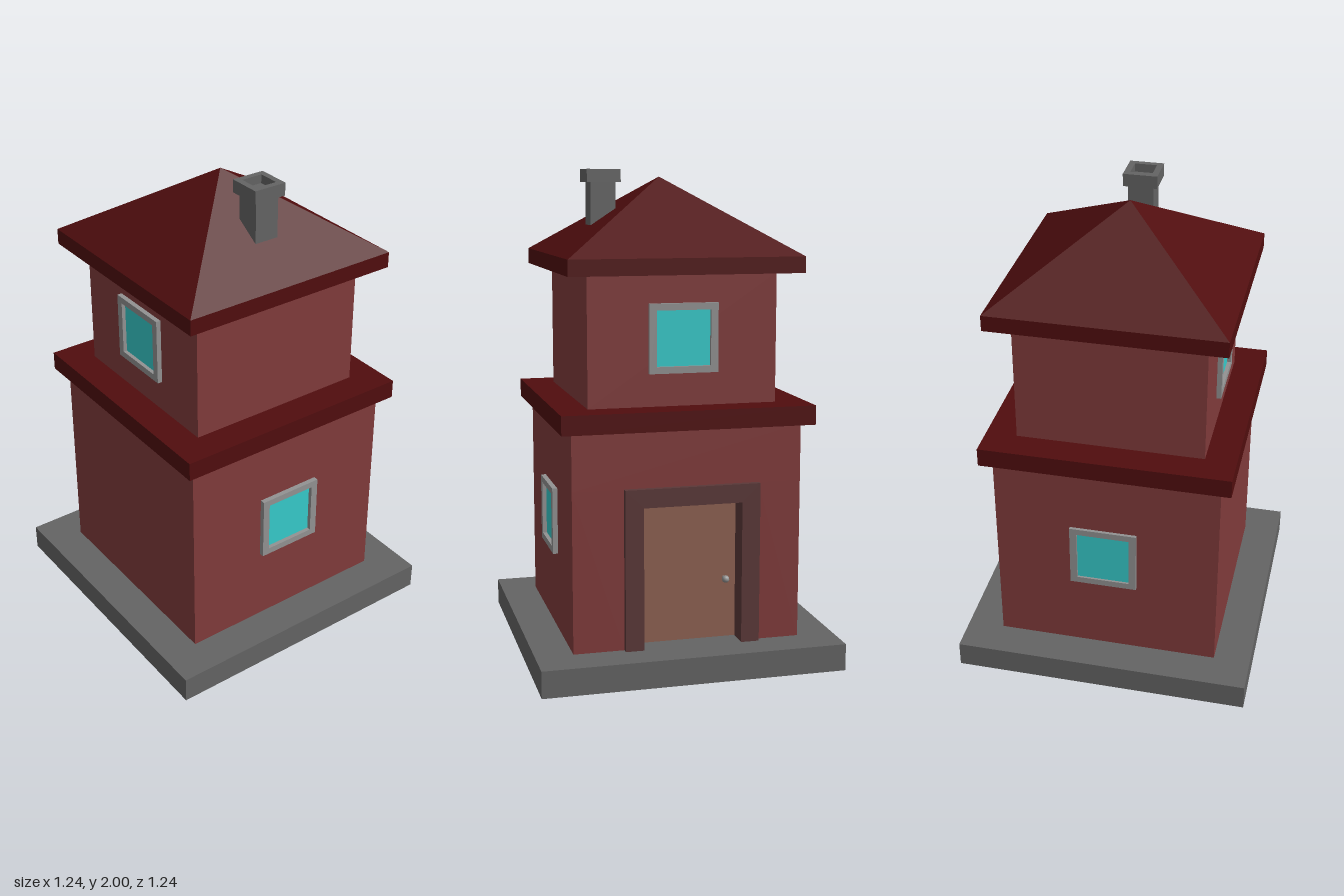
import * as THREE from 'three';

const mat = (name, color) => {
  const m = new THREE.MeshStandardMaterial({ color });
  m.name = name;
  return m;
};

export function createModel() {
  const stone = mat('stone', 0x646464);
  const wall = mat('brick wall', 0x803b3b);
  const roofRed = mat('dark red roof', 0x500d0e);
  const trim = mat('light grey trim', 0x929292);
  const glass = mat('turquoise glass', 0x36cbcb);
  const doorWood = mat('door wood', 0x8d6151);
  const frameWood = mat('door frame wood', 0x5a3838);

  const house = new THREE.Group();
  house.name = 'house';

  const add = (name, geometry, material, parent = house) => {
    const mesh = new THREE.Mesh(geometry, material);
    mesh.name = name;
    parent.add(mesh);
    return mesh;
  };
  // Box given by its minimum and maximum on each axis
  const box = (name, material, [x0, x1], [y0, y1], [z0, z1], parent) => {
    const mesh = add(name, new THREE.BoxGeometry(x1 - x0, y1 - y0, z1 - z0), material, parent);
    mesh.position.set((x0 + x1) / 2, (y0 + y1) / 2, (z0 + z1) / 2);
    return mesh;
  };
  const slab = (name, material, half, y) => box(name, material, [-half, half], y, [-half, half]);
  // Closed outline from corner pairs
  const outline = (points) => new THREE.Shape(points.map(([x, y]) => new THREE.Vector2(x, y)));
  const rect = (w, h) => outline([[-w, -h], [w, -h], [w, h], [-w, h]]);
  const extrude = (shape, depth) => new THREE.ExtrudeGeometry(shape, { depth, bevelEnabled: false });
  // Rectangular ring, half sizes w and h, with a rectangular hole
  const ring = (w, h, holeW, holeH, depth) => {
    const shape = rect(w, h);
    shape.holes.push(rect(holeW, holeH));
    return extrude(shape, depth);
  };

  // Base slab
  slab('base', stone, 0.62, [0, 0.11]);

  // Lower storey, with a notch in the back wall for the doorway
  const W = 0.467;
  const door = { x0: -0.293, x1: 0.26, top: 0.765, back: -0.395, front: -0.491, jamb: 0.075 };
  const plan = outline([
    [-W, -W], [W, -W], [W, W],
    [door.x1, W], [door.x1, -door.back], [door.x0, -door.back], [door.x0, W], [-W, W],
  ]);
  const lower = add('lowerWalls', extrude(plan, door.top - 0.11), wall);
  lower.rotation.x = -Math.PI / 2;
  lower.position.y = 0.11;
  slab('lowerWallsTop', wall, W, [door.top, 0.995]);

  // Ledge and upper storey
  slab('ledge', roofRed, 0.513, [0.995, 1.073]);
  slab('upperWalls', wall, 0.385, [1.073, 1.595]);

  // Eave and pyramid roof
  slab('eave', roofRed, 0.474, [1.595, 1.66]);
  const pyramid = new THREE.ConeGeometry(0.474 * Math.SQRT2, 0.31, 4, 1, false, Math.PI / 4).toNonIndexed();
  pyramid.computeVertexNormals();
  add('roof', pyramid, roofRed).position.y = 1.815;

  // Chimney with an open cap
  const chimney = new THREE.Group();
  chimney.name = 'chimney';
  chimney.position.x = 0.247;
  house.add(chimney);
  box('chimneyShaft', stone, [-0.052, 0.052], [1.72, 1.965], [-0.052, 0.052], chimney);
  const cap = add('chimneyCap', ring(0.07, 0.07, 0.045, 0.045, 0.052), stone, chimney);
  cap.rotation.x = -Math.PI / 2;
  cap.position.y = 1.948;

  // Doorway: deep frame, recessed door and knob
  const doorway = new THREE.Group();
  doorway.name = 'doorway';
  house.add(doorway);
  const { x0, x1, top, back, front, jamb } = door;
  const arch = outline([
    [x0, 0.11], [x0 + jamb, 0.11], [x0 + jamb, top - jamb],
    [x1 - jamb, top - jamb], [x1 - jamb, 0.11], [x1, 0.11], [x1, top], [x0, top],
  ]);
  add('doorFrame', extrude(arch, back - front), frameWood, doorway).position.z = front;
  box('door', doorWood, [x0 + jamb, x1 - jamb], [0.11, top - jamb], [back - 0.005, back + 0.003], doorway);
  const stem = add('knobStem', new THREE.CylinderGeometry(0.007, 0.007, 0.03, 10), trim, doorway);
  stem.rotation.x = Math.PI / 2;
  stem.position.set(-0.17, 0.36, back - 0.015);
  add('doorKnob', new THREE.SphereGeometry(0.015, 14, 10), trim, doorway).position.set(-0.17, 0.36, back - 0.033);

  // Windows: raised frame around a thin pane set back inside it
  const addWindow = (name, angle, distance, side, y, depth) => {
    const group = new THREE.Group();
    group.name = name;
    group.rotation.y = angle;
    group.position.set(Math.sin(angle) * distance, y, Math.cos(angle) * distance);
    group.position.z += side;
    house.add(group);
    add('windowFrame', ring(0.14, 0.138, 0.11, 0.111, depth), trim, group);
    box('windowPane', glass, [-0.111, 0.111], [-0.112, 0.112], [-0.002, 0.004], group);
  };
  addWindow('frontWindow', 0, 0.385, 0, 1.343, 0.02);
  addWindow('backWindow', Math.PI, 0.385, 0, 1.343, 0.018);
  addWindow('leftWindow', Math.PI / 2, W, -0.007, 0.572, 0.021);
  addWindow('rightWindow', -Math.PI / 2, W, -0.012, 0.572, 0.013);

  return house;
}
